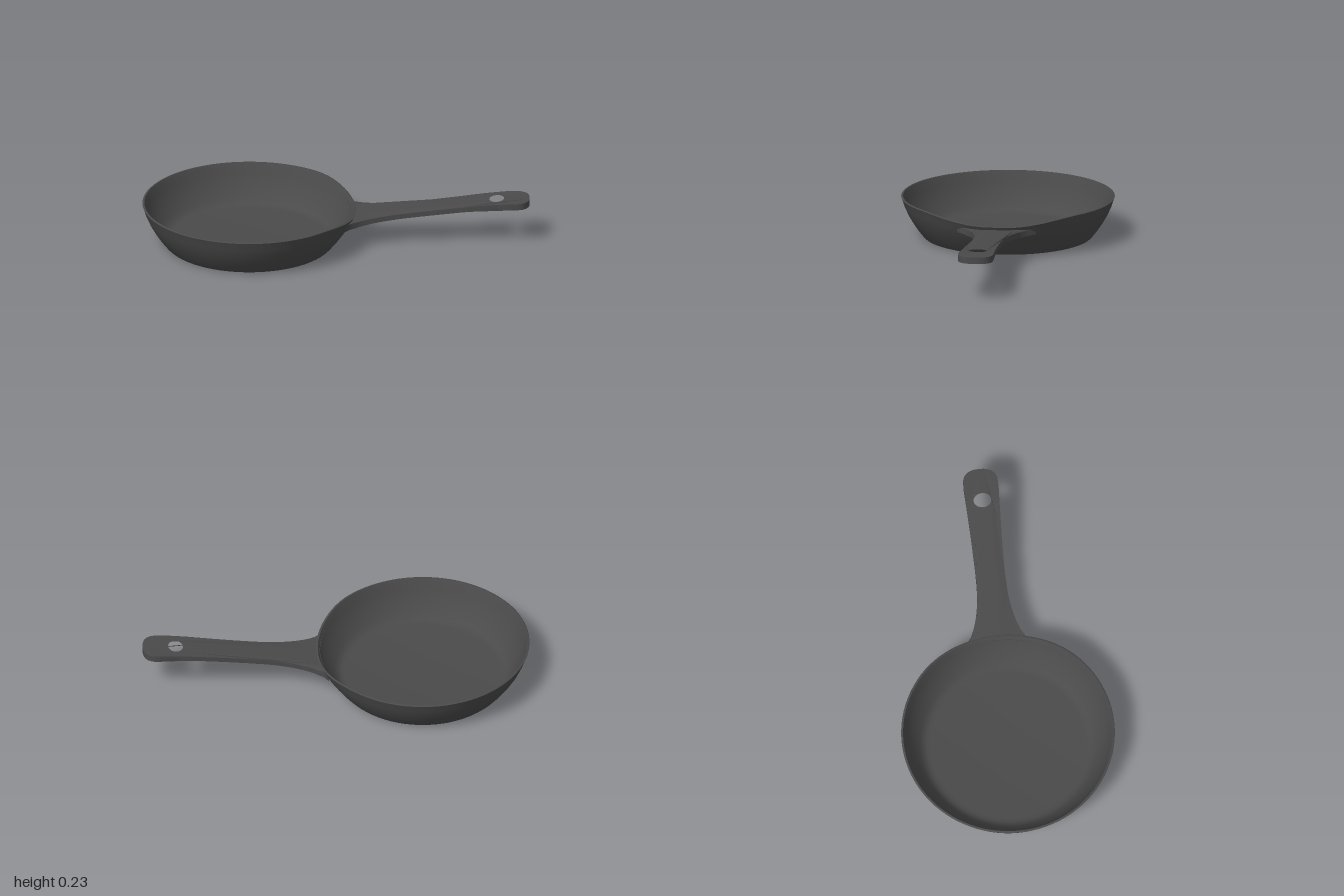
import * as THREE from 'three';
import { toCreasedNormals } from 'three/addons/utils/BufferGeometryUtils.js';

const PAN_X = -0.448;
const RIM_R = 0.552;
const RIM_Y = 0.213;

// Piecewise-linear lookup through [x, y] pairs
function lookup(table, x) {
  for (let i = 1; i < table.length; i++) {
    const [x0, y0] = table[i - 1], [x1, y1] = table[i];
    if (x <= x1) return y0 + (y1 - y0) * Math.max(0, (x - x0) / (x1 - x0));
  }
  return table[table.length - 1][1];
}

function moveVertices(geometry, rule) {
  const p = geometry.attributes.position, v = new THREE.Vector3();
  for (let i = 0; i < p.count; i++) {
    rule(v.fromBufferAttribute(p, i));
    p.setXYZ(i, v.x, v.y, v.z);
  }
  return geometry;
}

// Thin-walled bowl whose rim dips where the handle joins
function panGeometry() {
  const profile = [
    [0, 0], [0.42, 0], [0.434, 0.003], [0.445, 0.014], [0.47, 0.046], [0.495, 0.083],
    [0.518, 0.123], [0.537, 0.166], [0.549, 0.203], [RIM_R, 0.21], [0.549, RIM_Y],
    [0.542, RIM_Y], [0.538, 0.205], [0.525, 0.166], [0.505, 0.122], [0.481, 0.083],
    [0.456, 0.049], [0.437, 0.03], [0.42, 0.022], [0.4, 0.019], [0, 0.019],
  ].map(([x, y]) => new THREE.Vector2(x, y));
  const geometry = new THREE.LatheGeometry(profile, 96);
  moveVertices(geometry, (v) => {
    const angle = Math.abs(Math.atan2(v.z, v.x));
    const dip = 0.037 * (1 - THREE.MathUtils.smoothstep(angle, 0.12, 0.85));
    v.y -= dip * (v.y / RIM_Y) ** 2;
  });
  return toCreasedNormals(geometry, 0.8);
}

// Flat bar flaring into the pan wall, with a hanging hole, bent along its length
function handleGeometry() {
  const edge = new THREE.CatmullRomCurve3([
    [0.045, 0.205], [0.075, 0.165], [0.12, 0.131], [0.2, 0.102], [0.3, 0.083], [0.4, 0.077],
    [0.6, 0.079], [0.8, 0.086], [0.92, 0.09], [0.96, 0.084], [0.987, 0.06], [0.999, 0.025], [1, 0],
  ].map(([x, y]) => new THREE.Vector3(x, y, 0))).getPoints(60);
  const outline = edge.map((p) => new THREE.Vector2(p.x, p.y));
  const mirrored = outline.slice(0, -1).reverse().map((p) => new THREE.Vector2(p.x, -p.y));
  // inner end follows the pan wall
  const inner = [];
  for (let i = 0; i <= 16; i++) {
    const a = -0.375 + (0.75 * i) / 16;
    inner.push(new THREE.Vector2(PAN_X + 0.53 * Math.cos(a), 0.53 * Math.sin(a)));
  }
  const shape = new THREE.Shape([...inner, ...outline, ...mirrored]);
  const hole = new THREE.Path();
  hole.absellipse(0.83, 0, 0.038, 0.046, 0, Math.PI * 2, true);
  shape.holes.push(hole);

  const geometry = new THREE.ExtrudeGeometry(shape, { depth: 1, bevelEnabled: false, curveSegments: 24 });
  geometry.rotateX(-Math.PI / 2);
  const top = [[0.05, 0.162], [0.1, 0.156], [0.2, 0.164], [0.4, 0.184], [0.78, 0.226], [0.88, 0.233], [1, 0.235]];
  const thickness = [[0.05, 0.032], [0.2, 0.027], [0.7, 0.026], [0.9, 0.033], [1, 0.035]];
  moveVertices(geometry, (v) => {
    v.y = lookup(top, v.x) - (1 - v.y) * lookup(thickness, v.x);
  });
  return toCreasedNormals(geometry, 0.6);
}

export function createModel() {
  const group = new THREE.Group();
  group.name = 'fryingPan';
  const iron = new THREE.MeshStandardMaterial({ color: 0x4a4a4a });
  iron.name = 'castIron';

  const pan = new THREE.Mesh(panGeometry(), iron);
  pan.name = 'panBowl';
  pan.position.x = PAN_X;

  const handle = new THREE.Mesh(handleGeometry(), iron);
  handle.name = 'handle';

  group.add(pan, handle);
  return group;
}
